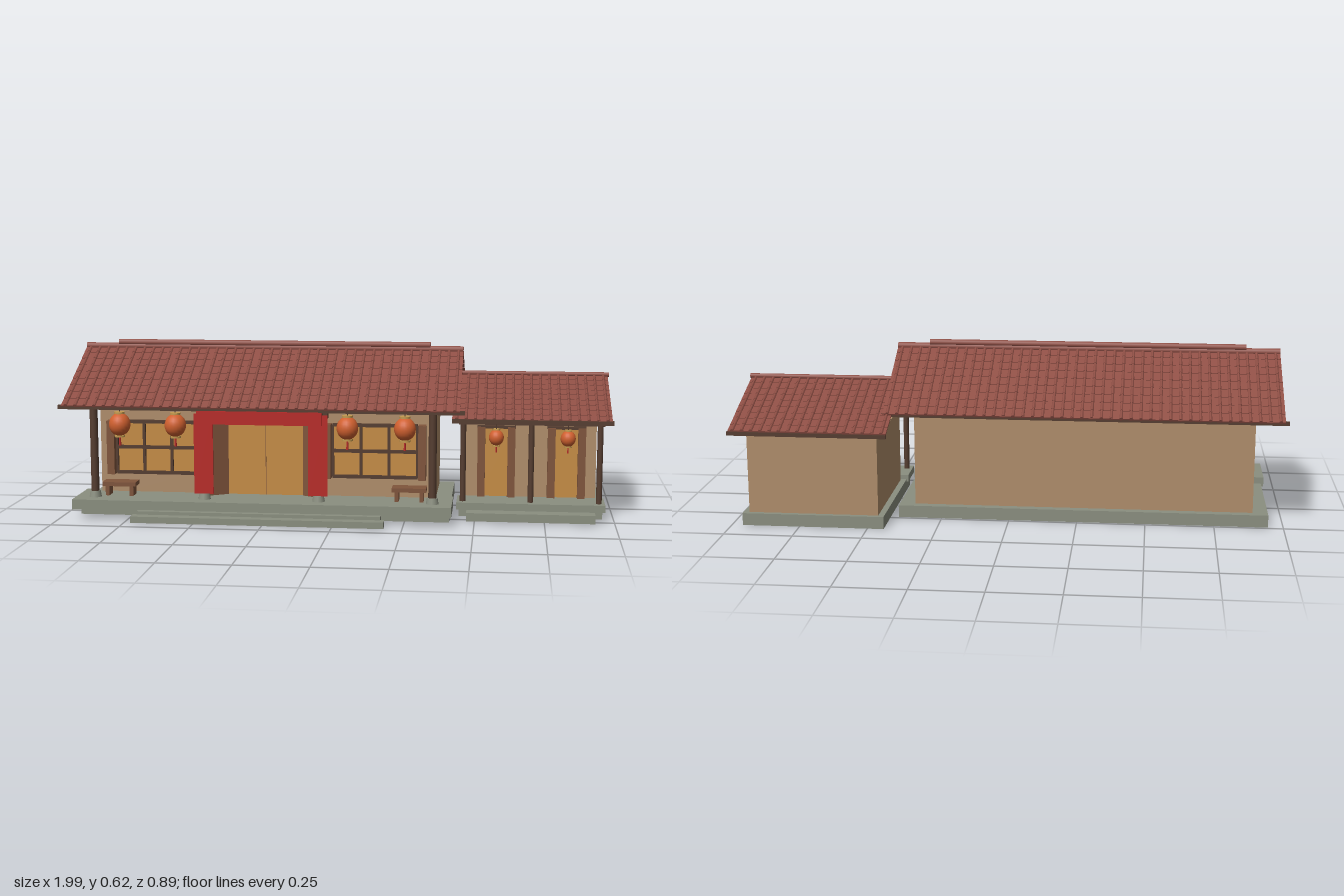
import * as THREE from 'three';
import { mergeGeometries } from 'three/addons/utils/BufferGeometryUtils.js';

const mat = (name, color) => {
  const m = new THREE.MeshStandardMaterial({ color });
  m.name = name;
  return m;
};

export function createModel() {
  const M = {
    roof: mat('roofTile', 0x8f4f45), wall: mat('plaster', 0xb08e6b), stone: mat('stone', 0x8b8f80),
    dark: mat('darkTimber', 0x553d30), brown: mat('timber', 0x80553c), amber: mat('warmPaper', 0xc68d45),
    red: mat('redCloth', 0xb82a27), lantern: mat('lanternOrange', 0xd0602f), gold: mat('gold', 0xc39a50),
  };
  const root = new THREE.Group();
  root.name = 'courtyardHouse';

  const add = (parent, name, geo, m) => {
    const mesh = new THREE.Mesh(geo, m);
    mesh.name = name;
    parent.add(mesh);
    return mesh;
  };
  // Box given by its extents on each axis
  const box = (parent, name, m, x0, x1, y0, y1, z0, z1) => {
    const b = add(parent, name, new THREE.BoxGeometry(x1 - x0, y1 - y0, z1 - z0), m);
    b.position.set((x0 + x1) / 2, (y0 + y1) / 2, (z0 + z1) / 2);
    return b;
  };
  const cyl = (parent, name, m, r0, r1, y0, y1, x, z, n = 12) => {
    const c = add(parent, name, new THREE.CylinderGeometry(r1, r0, y1 - y0, n), m);
    c.position.set(x, (y0 + y1) / 2, z);
    return c;
  };
  const beamX = (parent, name, m, r, x0, x1, y, z) => {
    const c = add(parent, name, new THREE.CylinderGeometry(r, r, x1 - x0, 10), m);
    c.rotation.z = Math.PI / 2;
    c.position.set((x0 + x1) / 2, y, z);
  };

  // Tiled slope: overlapping courses plus rows of rounded cover tiles
  const slope = (parent, name, x0, x1, zr, yr, ze, ye, rows, cols) => {
    const len = Math.hypot(ze - zr, ye - yr);
    const step = len / rows, pitch = (x1 - x0) / cols, parts = [];
    for (let i = 0; i < rows; i++) {
      const d = (i + 0.5) * step;
      const course = new THREE.BoxGeometry(x1 - x0, 0.005, step * 1.08);
      course.rotateX(-0.04);
      course.translate((x0 + x1) / 2, 0, d);
      parts.push(course);
      for (let j = 0; j < cols; j++) {
        const tile = new THREE.CylinderGeometry(0.0055, 0.007, step * 1.04, 6);
        tile.rotateX(-Math.PI / 2);
        tile.translate(x0 + (j + 0.5) * pitch, 0.002, d);
        parts.push(tile);
      }
    }
    const mesh = add(parent, name, mergeGeometries(parts), M.roof);
    // Back slopes are the front slope turned around the ridge
    const front = ze > zr;
    mesh.geometry.translate(-(x0 + x1) / 2, 0, 0);
    mesh.geometry.rotateX(Math.atan2(yr - ye, Math.abs(ze - zr)));
    if (!front) mesh.geometry.rotateY(Math.PI);
    mesh.position.set((x0 + x1) / 2, yr, zr);
  };

  const lantern = (parent, x, y, z, r) => {
    const g = new THREE.Group();
    g.name = 'lantern';
    const body = add(g, 'lanternBody', new THREE.SphereGeometry(r, 20, 14), M.lantern);
    body.scale.y = 1.08;
    cyl(g, 'lanternTopCap', M.gold, r * 0.5, r * 0.5, r, r * 1.18, 0, 0);
    cyl(g, 'lanternBottomCap', M.gold, r * 0.5, r * 0.5, -r * 1.18, -r, 0, 0);
    cyl(g, 'lanternTassel', M.red, r * 0.12, r * 0.08, -r * 2, -r * 1.1, 0, 0, 6);
    cyl(g, 'lanternCord', M.dark, 0.002, 0.002, r * 1.1, r * 1.9, 0, 0, 6);
    g.position.set(x, y, z);
    parent.add(g);
  };

  // ---------- Main hall ----------
  const hall = new THREE.Group();
  hall.name = 'mainHall';
  root.add(hall);
  const cx = -0.268;
  box(hall, 'base', M.stone, -0.945, 0.41, 0, 0.045, -0.24, 0.305);
  box(hall, 'porchSlab', M.stone, -0.955, 0.42, 0.033, 0.07, 0.18, 0.385);
  box(hall, 'lowerStep', M.stone, -0.725, 0.185, 0.002, 0.025, 0.403, 0.445);
  box(hall, 'middleStep', M.stone, -0.71, 0.17, 0.015, 0.037, 0.37, 0.408);
  box(hall, 'upperStep', M.stone, -0.695, 0.155, 0.025, 0.045, 0.335, 0.375);
  box(hall, 'walls', M.wall, -0.89, 0.352, 0.04, 0.405, -0.21, 0.21);

  slope(hall, 'frontRoof', -0.985, 0.447, 0.03, 0.594, 0.388, 0.413, 9, 41);
  slope(hall, 'backRoof', -0.985, 0.447, 0.03, 0.594, -0.328, 0.413, 9, 41);
  beamX(hall, 'ridgeBase', M.roof, 0.013, -0.985, 0.447, 0.596, 0.03);
  beamX(hall, 'ridgeCap', M.roof, 0.012, -0.86, 0.325, 0.611, 0.03);
  box(hall, 'frontEaveBeam', M.dark, -1, 0.465, 0.4, 0.415, 0.366, 0.38);
  box(hall, 'backEaveBeam', M.dark, -1, 0.465, 0.4, 0.414, -0.318, -0.304);
  box(hall, 'porchBeam', M.dark, -0.9, 0.37, 0.4, 0.43, 0.303, 0.333);

  for (const x of [-0.885, -0.478, -0.06, 0.35]) {
    cyl(hall, 'columnBase', M.stone, 0.023, 0.019, 0.07, 0.092, x, 0.318);
    cyl(hall, 'column', M.dark, 0.0145, 0.0145, 0.09, 0.405, x, 0.318, 16);
  }

  // Doorway with open leaves
  box(hall, 'doorPanel', M.amber, -0.415, -0.12, 0.07, 0.36, 0.208, 0.216);
  box(hall, 'doorSeam', M.brown, -0.269, -0.267, 0.07, 0.36, 0.213, 0.217);
  box(hall, 'doorLintel', M.dark, -0.5, -0.036, 0.36, 0.395, 0.208, 0.24);
  for (const s of [-1, 1]) {
    const leaf = box(hall, 'doorLeaf', M.brown, -0.04, 0.04, 0.07, 0.36, -0.007, 0.007);
    leaf.position.set(cx + s * 0.176, 0.215, 0.236);
    leaf.rotation.y = s * -0.55;
    box(hall, 'doorPost', M.dark, cx + s * 0.205 - 0.012, cx + s * 0.205 + 0.012, 0.07, 0.36, 0.208, 0.232);
    // Hanging cloth strips on the middle columns
    const x = cx + s * 0.208;
    box(hall, 'clothStrip', M.red, x - 0.035, x + 0.035, 0.093, 0.385, 0.333, 0.339);
  }
  box(hall, 'clothBanner', M.red, -0.492, -0.04, 0.354, 0.402, 0.377, 0.384);

  // Windows with lattice, shutters, benches and lanterns, mirrored about the door
  for (const s of [-1, 1]) {
    const wx = cx + s * 0.403, w = 0.155;
    box(hall, 'windowPane', M.amber, wx - w, wx + w, 0.145, 0.335, 0.208, 0.216);
    for (const y of [0.145, 0.24, 0.335])
      box(hall, 'windowRail', M.dark, wx - w, wx + w, y - 0.006, y + 0.006, 0.21, 0.226);
    for (const dx of [-w, -w / 3, w / 3, w])
      box(hall, 'windowBar', M.dark, wx + dx - 0.005, wx + dx + 0.005, 0.145, 0.335, 0.21, 0.226);
    for (const d of [-1, 1]) {
      const sx = wx + d * 0.173;
      box(hall, 'shutter', M.brown, sx - 0.014, sx + 0.014, 0.14, 0.34, 0.21, 0.25);
    }
    const bx = cx + s * 0.533;
    box(hall, 'benchSeat', M.brown, bx - 0.062, bx + 0.062, 0.106, 0.121, 0.242, 0.305);
    for (const d of [-1, 1])
      box(hall, 'benchLeg', M.brown, bx + d * 0.045 - 0.007, bx + d * 0.045 + 0.007, 0.07, 0.107, 0.25, 0.297);
    for (const d of [0.313, 0.519]) lantern(hall, cx + s * d, 0.34, 0.324, 0.039);
  }

  // ---------- Side wing ----------
  const wing = new THREE.Group();
  wing.name = 'sideWing';
  root.add(wing);
  box(wing, 'base', M.stone, 0.44, 0.96, 0, 0.045, -0.39, 0.19);
  box(wing, 'porchSlab', M.stone, 0.433, 0.967, 0.036, 0.062, 0.11, 0.248);
  box(wing, 'step', M.stone, 0.47, 0.93, 0.005, 0.035, 0.185, 0.298);
  box(wing, 'walls', M.wall, 0.462, 0.938, 0.04, 0.333, -0.372, 0.102);

  slope(wing, 'frontRoof', 0.415, 0.985, -0.097, 0.49, 0.247, 0.366, 9, 17);
  slope(wing, 'backRoof', 0.415, 0.985, -0.097, 0.49, -0.441, 0.366, 9, 17);
  beamX(wing, 'ridgeCap', M.roof, 0.009, 0.412, 0.99, 0.495, -0.097);
  box(wing, 'frontEaveBeam', M.dark, 0.415, 0.99, 0.353, 0.368, 0.238, 0.252);
  box(wing, 'backEaveBeam', M.dark, 0.415, 0.99, 0.35, 0.364, -0.446, -0.432);
  box(wing, 'porchBeam', M.dark, 0.44, 0.96, 0.345, 0.368, 0.2, 0.222);
  for (const x of [0.455, 0.7, 0.945]) cyl(wing, 'column', M.dark, 0.0105, 0.0105, 0.06, 0.352, x, 0.211, 14);

  // Two doors with side leaves, each with a lantern
  for (const x of [0.574, 0.83]) {
    box(wing, 'doorPanel', M.amber, x - 0.065, x + 0.065, 0.06, 0.322, 0.1, 0.108);
    box(wing, 'doorHead', M.dark, x - 0.07, x + 0.07, 0.316, 0.326, 0.1, 0.122);
    for (const s of [-1, 1])
      box(wing, 'doorLeaf', M.brown, x + s * 0.055 - 0.014, x + s * 0.055 + 0.014, 0.06, 0.322, 0.102, 0.13);
    lantern(wing, x, 0.3, 0.226, 0.027);
  }
  return root;
}
